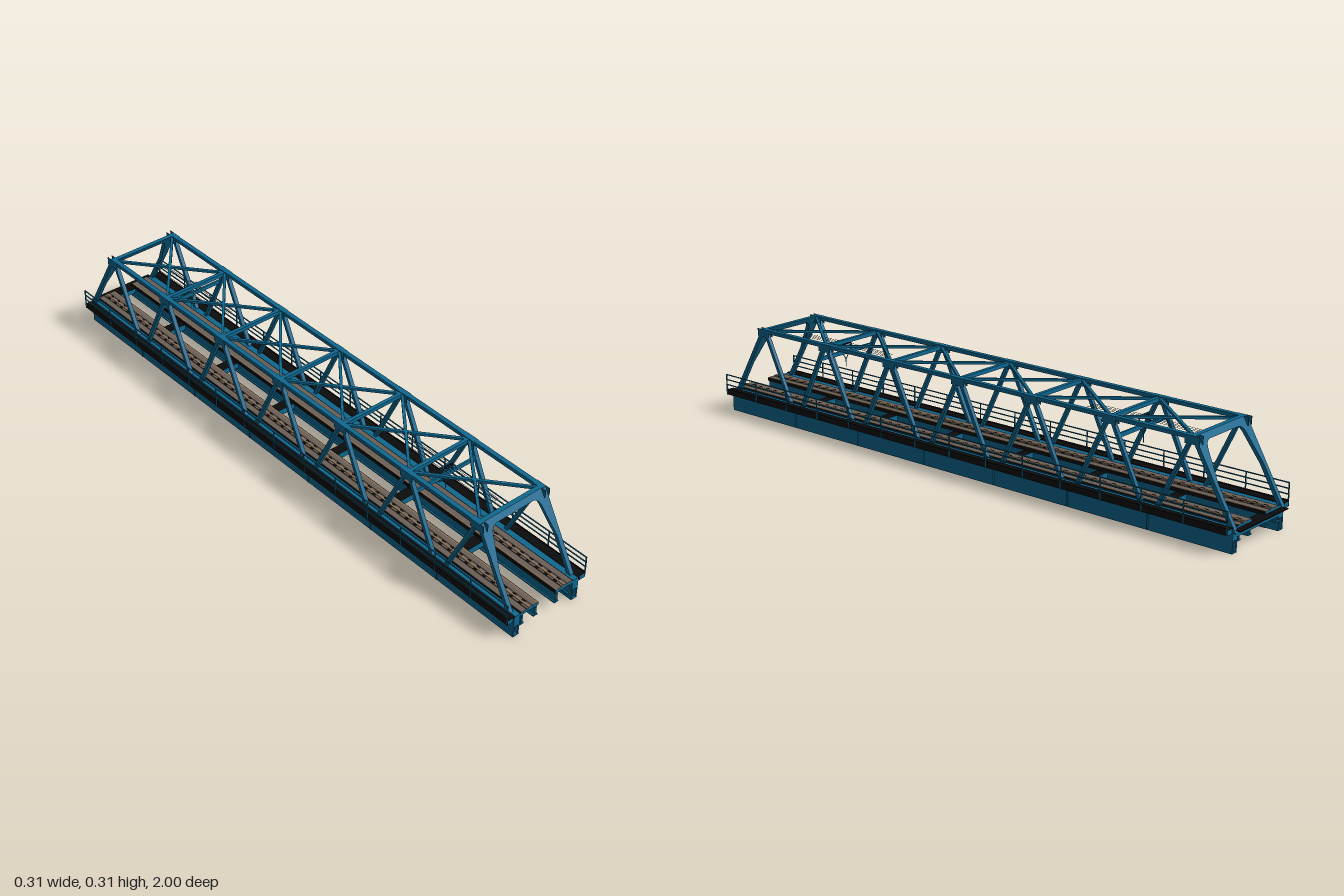
import * as THREE from 'three';

export function createModel() {
  const bridge = new THREE.Group();
  bridge.name = 'trussRailwayBridge';

  const mat = (name, color) => {
    const m = new THREE.MeshStandardMaterial({ color });
    m.name = name;
    return m;
  };
  const blue = mat('bluePaint', 0x0e6890);
  const black = mat('blackDeck', 0x0b0b0c);
  const brown = mat('brownPlanks', 0x6b5f56);
  const tan = mat('rustyEdge', 0x8f7458);
  // blue end faces, black everywhere else
  const blackBlueEnds = [black, black, black, black, blue, blue];

  const section = (name) => {
    const g = new THREE.Group();
    g.name = name;
    bridge.add(g);
    return g;
  };
  // box given by its limits on each axis
  const box = (parent, name, x0, x1, y0, y1, z0, z1, m = blue) => {
    const mesh = new THREE.Mesh(new THREE.BoxGeometry(Math.abs(x1 - x0), y1 - y0, z1 - z0), m);
    mesh.position.set((x0 + x1) / 2, (y0 + y1) / 2, (z0 + z1) / 2);
    mesh.name = name;
    parent.add(mesh);
    return mesh;
  };
  // straight bar between two points
  const bar = (parent, name, a, b, w, h, m = blue) => {
    const p = new THREE.Vector3(...a), q = new THREE.Vector3(...b);
    const mesh = new THREE.Mesh(new THREE.BoxGeometry(w, h, p.distanceTo(q)), m);
    mesh.position.copy(p).lerp(q, 0.5);
    mesh.lookAt(q);
    mesh.name = name;
    parent.add(mesh);
    return mesh;
  };

  const front = 1, back = -0.98;
  const topNodes = [-0.84, -0.56, -0.28, 0, 0.28, 0.56, 0.84];
  const lowNodes = [-0.7, -0.42, -0.14, 0.14, 0.42, 0.7];

  for (const s of [1, -1]) {
    const side = s > 0 ? 'left' : 'right';

    // hollow main girder
    const girder = section(side + 'MainGirder');
    box(girder, 'outerWeb', s * 0.121, s * 0.125, 0, 0.068, back, front);
    box(girder, 'innerWeb', s * 0.103, s * 0.107, 0, 0.068, back, front);
    box(girder, 'topFlange', s * 0.102, s * 0.125, 0.037, 0.074, back, front);
    box(girder, 'bottomFlange', s * 0.103, s * 0.125, 0, 0.002, back, front);
    for (const z of lowNodes) box(girder, 'stiffener', s * 0.125, s * 0.128, 0.002, 0.06, z - 0.002, z + 0.002);

    // pair of I-beams carrying one rail
    const stringers = section(side + 'Stringers');
    for (const x of [0.041, 0.094]) {
      box(stringers, 'web', s * (x - 0.003), s * (x + 0.003), 0.03, 0.066, back, front);
      box(stringers, 'lowerFlange', s * (x - 0.008), s * (x + 0.008), 0.03, 0.034, back, front);
    }
    box(stringers, 'deckPlate', s * 0.033, s * 0.102, 0.066, 0.076, back, front, blackBlueEnds);
    for (const z of lowNodes) box(stringers, 'tie', s * 0.041, s * 0.094, 0.03, 0.034, z - 0.01, z + 0.01);

    // planks, rail and fastenings
    const track = section(side + 'Track');
    box(track, 'outerPlanks', s * 0.08, s * 0.098, 0.076, 0.0775, back, front, brown);
    box(track, 'innerPlanks', s * 0.04, s * 0.056, 0.076, 0.0775, back, front, brown);
    box(track, 'edgeStrip', s * 0.036, s * 0.04, 0.076, 0.0775, back, front, tan);
    box(track, 'railBed', s * 0.058, s * 0.078, 0.076, 0.0785, back, front, brown);
    box(track, 'railHead', s * 0.065, s * 0.071, 0.0785, 0.08, back, front, tan);
    for (let i = 0; i < 56; i++) {
      const z = back + 0.02 + i * 0.035;
      box(track, 'fastening', s * 0.058, s * 0.064, 0.0785, 0.0795, z, z + 0.012, black);
      box(track, 'fastening', s * 0.072, s * 0.078, 0.0785, 0.0795, z, z + 0.012, black);
    }

    // walkway and railing
    const walkway = section(side + 'Walkway');
    box(walkway, 'walkwayDeck', s * 0.129, s * 0.149, 0.06, 0.075, back, front, blackBlueEnds);
    box(walkway, 'walkwayPlate', s * 0.122, s * 0.15, 0.0745, 0.0765, back, front, black);
    box(walkway, 'kickBoard', s * 0.149, s * 0.151, 0.06, 0.08, back, front, black);
    for (const y of [0.129, 0.112, 0.095])
      box(walkway, 'handrail', s * 0.1505, s * 0.1535, y - 0.0015, y + 0.0015, back, front);
    for (let i = 0; i < 15; i++) {
      const z = back + 0.002 + i * 0.1411;
      box(walkway, 'railingPost', s * 0.1505, s * 0.1535, 0.06, 0.13, z - 0.0015, z + 0.0015);
    }

    // side truss
    const truss = section(side + 'Truss');
    box(truss, 'topChord', s * 0.11, s * 0.125, 0.293, 0.305, -0.85, 0.85);
    for (const z of topNodes) {
      for (const x of [0.1095, 0.1255])
        box(truss, 'gusset', s * (x - 0.001), s * (x + 0.001), 0.28, 0.305, z - 0.025, z + 0.025);
      for (const d of [-1, 1]) {
        if (Math.abs(z + d * 0.14) > 0.9) continue;
        bar(truss, 'diagonal', [s * 0.118, 0.06, z + d * 0.119], [s * 0.118, 0.296, z + d * 0.006], 0.013, 0.011);
      }
    }
  }

  // cross beams under the track
  const floor = section('floorBeams');
  for (const z of lowNodes)
    box(floor, 'crossBeam', -0.104, 0.104, 0.045, 0.065, z - 0.017, z + 0.017, blackBlueEnds);
  box(floor, 'endBeam', -0.104, 0.104, 0.045, 0.065, -0.98, -0.965, blackBlueEnds);
  box(floor, 'endPlate', -0.118, 0.118, 0.066, 0.069, -1, -0.96, black);

  // overhead struts and crossed bracing
  const roof = section('roofBracing');
  topNodes.slice(1, -1).forEach((z) => box(roof, 'strut', -0.112, 0.112, 0.291, 0.303, z - 0.006, z + 0.006));
  for (const z of lowNodes)
    for (const s of [1, -1])
      bar(roof, 'crossBrace', [-s * 0.11, 0.297, z - 0.135], [s * 0.11, 0.297, z + 0.135], 0.009, 0.008);

  // leaning end portals with tapered knees
  const outline = new THREE.Shape();
  outline.moveTo(-0.125, 0.06);
  outline.lineTo(-0.111, 0.06);
  outline.lineTo(-0.111, 0.18);
  outline.lineTo(-0.093, 0.265);
  outline.quadraticCurveTo(-0.088, 0.285, -0.07, 0.287);
  outline.lineTo(0.07, 0.287);
  outline.quadraticCurveTo(0.088, 0.285, 0.093, 0.265);
  outline.lineTo(0.111, 0.18);
  outline.lineTo(0.111, 0.06);
  outline.lineTo(0.125, 0.06);
  outline.lineTo(0.125, 0.305);
  outline.lineTo(-0.125, 0.305);
  const portalGeo = new THREE.ExtrudeGeometry(outline, { depth: 0.015, bevelEnabled: false, curveSegments: 6 });
  const pos = portalGeo.attributes.position;
  for (let i = 0; i < pos.count; i++) pos.setZ(i, pos.getZ(i) + 0.833 + (0.305 - pos.getY(i)) * 0.577);
  portalGeo.computeVertexNormals();
  for (const [name, turn] of [['frontPortal', 0], ['backPortal', Math.PI]]) {
    const portal = new THREE.Mesh(portalGeo, blue);
    portal.name = name;
    portal.rotation.y = turn;
    bridge.add(portal);
  }

  // overhead wire gantries
  for (const d of [1, -1]) {
    const gantry = section(d > 0 ? 'frontWireGantry' : 'backWireGantry');
    const z = d * 0.59;
    box(gantry, 'gantryBeam', -0.113, 0.113, 0.243, 0.256, z - 0.003, z + 0.003);
    for (const s of [1, -1]) {
      box(gantry, 'framePost', s * 0.0225, s * 0.025, 0.256, 0.285, z - 0.002, z + 0.002);
      bar(gantry, 'hangerArm', [s * 0.012, 0.243, z], [0, 0.225, z], 0.002, 0.002);
    }
    box(gantry, 'frameTop', -0.025, 0.025, 0.2825, 0.285, z - 0.002, z + 0.002);
    box(gantry, 'hangerRod', -0.001, 0.001, 0.2, 0.226, z - 0.001, z + 0.001);
    for (const x of [-0.016, -0.005, 0.005, 0.016]) {
      const insulator = new THREE.Mesh(new THREE.CylinderGeometry(0.003, 0.003, 0.008, 8), black);
      insulator.rotation.x = Math.PI / 2;
      insulator.position.set(x, 0.277, z);
      insulator.name = 'insulator';
      gantry.add(insulator);
      box(gantry, 'insulatorHanger', x - 0.0007, x + 0.0007, 0.277, 0.283, z - 0.001, z + 0.001, black);
      bar(gantry, 'wire', [x, 0.272, z - 0.19], [x, 0.276, z], 0.0008, 0.0008, black);
      bar(gantry, 'wire', [x, 0.276, z], [x, 0.272, z + 0.19], 0.0008, 0.0008, black);
    }
  }
  return bridge;
}
